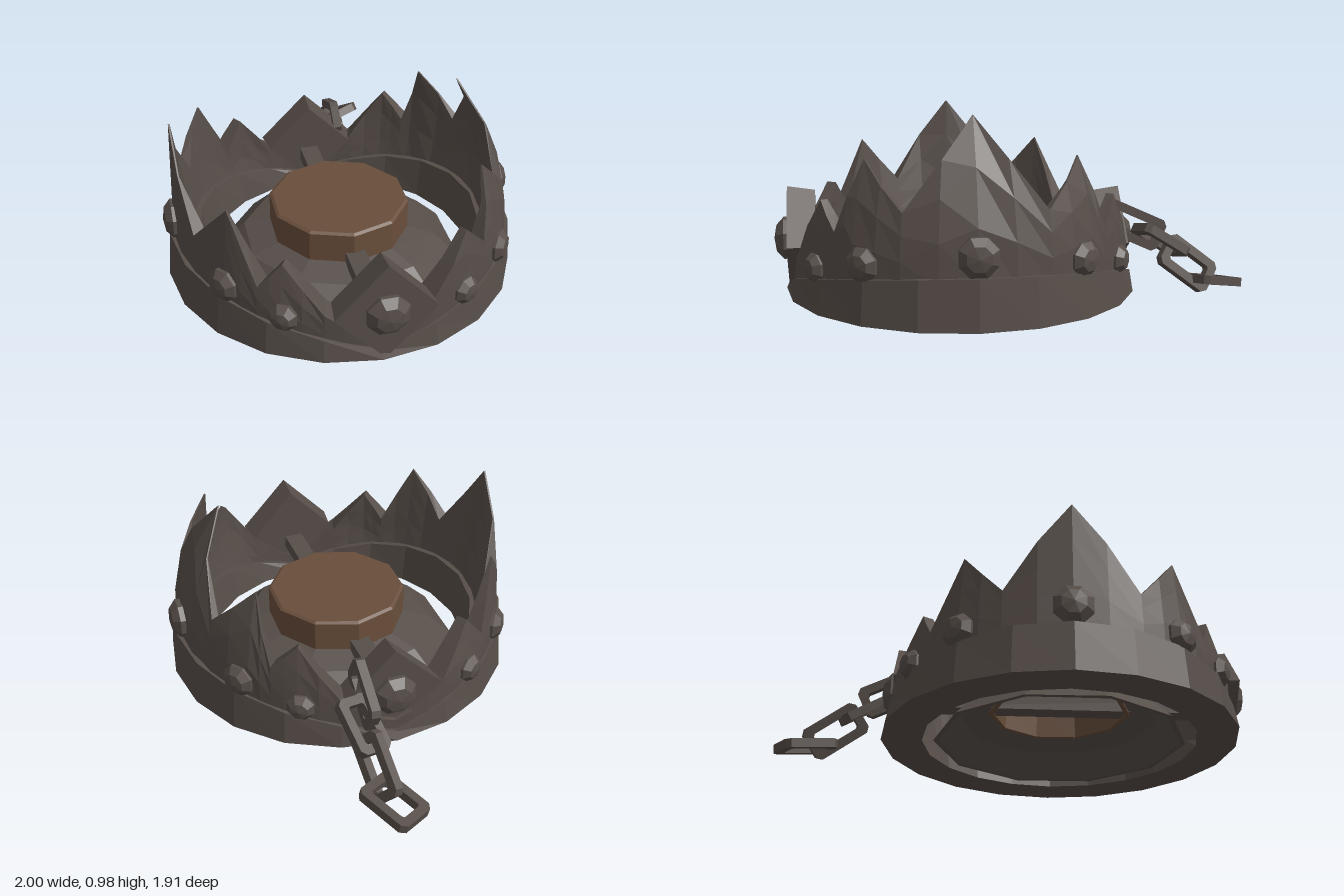
import * as THREE from 'three';

const CX = 0.1, CZ = 0.05, RAD = Math.PI / 180;
const iron = new THREE.MeshStandardMaterial({ color: 0x574e49, flatShading: true, side: THREE.DoubleSide });
iron.name = 'dark iron';
const rust = new THREE.MeshStandardMaterial({ color: 0x694e3b, flatShading: true });
rust.name = 'rusty brown';

function add(parent, name, geometry, material = iron) {
  const mesh = new THREE.Mesh(geometry, material);
  mesh.name = name;
  parent.add(mesh);
  return mesh;
}

// Ten-sided lathe with corners on the x axis
function lathe10(points) {
  const g = new THREE.LatheGeometry(points.map(p => new THREE.Vector2(...p)), 10);
  return g.rotateY(Math.PI / 10);
}

// Sweep a closed (radius, height) section around the trap's axis
function sweep(angles, section) {
  const rings = angles.map(a => section(a).map(([r, y]) =>
    [r * Math.cos(a * RAD), y, r * Math.sin(a * RAD)]));
  const pos = [];
  for (let i = 0; i < rings.length - 1; i++) {
    const A = rings[i], B = rings[i + 1], n = A.length;
    for (let j = 0; j < n; j++) {
      const k = (j + 1) % n;
      pos.push(...A[j], ...A[k], ...B[k], ...A[j], ...B[k], ...B[j]);
    }
  }
  const g = new THREE.BufferGeometry();
  g.setAttribute('position', new THREE.Float32BufferAttribute(pos, 3));
  g.computeVertexNormals();
  return g;
}

// Height of the band's top edge, d degrees away from the middle of a jaw
const bandTop = d => 0.29 - 0.17 * (d / 82) ** 2;

// Group on the rim whose +z points outward
function rimGroup(parent, name, angle, r, y) {
  const g = new THREE.Group();
  g.name = name;
  g.position.set(r * Math.cos(angle * RAD), y, r * Math.sin(angle * RAD));
  g.rotation.y = Math.PI / 2 - angle * RAD;
  parent.add(g);
  return g;
}

// Faceted dome rivet facing +z
function rivet(parent, r, h) {
  const pts = [[r * 0.95, -0.04], [r, h * 0.35], [r * 0.62, h * 0.85], [0, h]];
  const g = new THREE.LatheGeometry(pts.map(p => new THREE.Vector2(...p)), 8);
  g.rotateY(Math.PI / 8);
  g.rotateX(Math.PI / 2);
  return add(parent, 'rivet', g);
}

// Toothed jaw: profile lists [degrees from middle, edge height] for one half;
// lean tilts the whole wall inward, side only its ends, curve hooks the tips
function jaw(parent, name, mid, profile, { lean, side, curve, curveFall }) {
  const half = [];
  profile.forEach(([d, y], i) => {
    half.push([d, y]);
    const next = profile[i + 1];
    if (next) half.push([(d + next[0]) / 2, (y + next[1]) / 2 + (i === 0 ? 0.02 : 0)]);
  });
  const cols = [...half.slice(1).reverse().map(([d, y]) => [-d, y]), ...half];
  const edge = new Map(cols.map(([d, y]) => [mid + d, y]));
  const outer = (y, d) => {
    const h = Math.max(0, y - 0.3);
    return 0.855 - h * (lean + side * (d / 60) ** 2) - (curve - curveFall * Math.abs(d) / 40) * h * h;
  };
  add(parent, name, sweep([...edge.keys()], a => {
    const d = a - mid, top = edge.get(a), low = Math.max(0.05, bandTop(d) - 0.04);
    // Wall thins from the root to a sharp tip
    const tip = THREE.MathUtils.clamp(0.2 - 0.28 * top, 0.008, 0.12);
    const rows = [0, 0.35, 0.7, 1].map(t => [low + (top - low) * t, 0.12 + (tip - 0.12) * t]);
    return [...rows.map(([y]) => [outer(y, d), y]),
      ...rows.reverse().map(([y, thick]) => [outer(y, d) - thick, y])];
  }));

  // Rivet under each tooth
  for (const [d, y, r] of [[0, 0.38, 0.1], [37, 0.32, 0.087], [59, 0.255, 0.073]])
    for (const s of d ? [-1, 1] : [1])
      rivet(rimGroup(parent, name + 'Rivet', mid + s * d, outer(y, d) - 0.015, y), r, 0.065);
}

// Chamfered rectangular chain link from a to b, facing along normal
function link(parent, a, b, normal, width) {
  const A = new THREE.Vector3(...a), B = new THREE.Vector3(...b);
  const outline = (P, l, w, c) => {
    const p = [[-l + c, -w], [l - c, -w], [l, -w + c], [l, w - c], [l - c, w], [-l + c, w], [-l, w - c], [-l, -w + c]];
    return new P(p.map(q => new THREE.Vector2(...q)));
  };
  const l = A.distanceTo(B) / 2, w = width / 2, bar = 0.045;
  const shape = outline(THREE.Shape, l, w, 0.025);
  shape.holes.push(outline(THREE.Path, l - bar, w - bar, 0.01));
  const g = new THREE.ExtrudeGeometry(shape, { depth: bar, bevelEnabled: false });
  g.translate(0, 0, -bar / 2);
  const x = B.clone().sub(A).normalize();
  const y = new THREE.Vector3(...normal).cross(x).normalize();
  const z = x.clone().cross(y);
  const m = add(parent, 'chainLink', g);
  m.quaternion.setFromRotationMatrix(new THREE.Matrix4().makeBasis(x, y, z));
  m.position.copy(A).add(B).multiplyScalar(0.5);
}

export function createModel() {
  const model = new THREE.Group();
  model.name = 'jawTrap';
  const trap = new THREE.Group();
  trap.name = 'trap';
  trap.position.set(CX, 0, CZ);
  model.add(trap);

  // Base band, dipping at the two hinges
  const angles = Array.from({ length: 21 }, (_, i) => 35 + i * 18);
  add(trap, 'baseBand', sweep(angles, a => {
    const d = ((a - 35) % 180) - 90, top = bandTop(d);
    return [[0.895, 0.045], [0.875, top], [0.72, top], [0.69, 0.045]];
  }));

  // Two jaws, the rear one curling further inward
  jaw(trap, 'frontJaw', 125,
    [[0, 0.92], [22, 0.48], [37.5, 0.72], [50, 0.38], [58, 0.52], [72, 0.29], [84, 0.17], [90, 0.14]],
    { lean: 0.03, side: 0.18, curve: 0, curveFall: 0 });
  jaw(trap, 'rearJaw', -55,
    [[0, 0.99], [24, 0.57], [41, 0.79], [49, 0.45], [58, 0.58], [72, 0.3], [84, 0.17], [90, 0.14]],
    { lean: 0, side: 0, curve: 0.52, curveFall: 0.1 });

  // Diamond hinge blocks: angle, radius, height, half width, half height
  for (const [a, r, y, hw, hh] of [[34, 0.81, 0.31, 0.25, 0.265], [215, 0.76, 0.29, 0.25, 0.25]]) {
    const hinge = rimGroup(trap, 'hinge', a, r, y);
    const block = new THREE.CylinderGeometry(1, 0.92, 0.14, 4);
    block.rotateX(Math.PI / 2);
    block.scale(hw, hh, 1);
    add(hinge, 'hingeBlock', block);
    rivet(hinge, 0.11, 0.075).position.z = 0.065;
  }

  // Cross bar between the hinges
  const bar = add(trap, 'crossBar', new THREE.BoxGeometry(1.52, 0.07, 0.1));
  bar.position.y = 0.24;
  bar.rotation.y = -34.5 * RAD;

  // Sloping trigger base and hollow pressure plate
  add(trap, 'triggerBase', lathe10(
    [[0.635, 0.05], [0.5, 0.18], [0.36, 0.22], [0.36, 0.21], [0.49, 0.165], [0.61, 0.05], [0.635, 0.05]]));
  add(trap, 'pressurePlate', lathe10(
    [[0, 0.355], [0.325, 0.355], [0.335, 0.2], [0.36, 0.2], [0.36, 0.375], [0.345, 0.385], [0, 0.385]]), rust);

  // Chain trailing from the rear hinge, links alternating upright and flat
  link(model, [-0.4, 0.43, -0.5], [-0.63, 0.3, -0.68], [0.6, 0.1, -0.78], 0.17);
  link(model, [-0.48, 0.37, -0.66], [-0.7, 0.22, -0.76], [-0.3, 0.9, 0.1], 0.18);
  link(model, [-0.61, 0.26, -0.72], [-0.83, 0.07, -0.845], [-0.25, -0.3, 0.9], 0.18);
  link(model, [-0.715, 0.095, -0.825], [-0.99, 0.04, -0.855], [-0.15, 1, 0.1], 0.21);
  return model;
}
